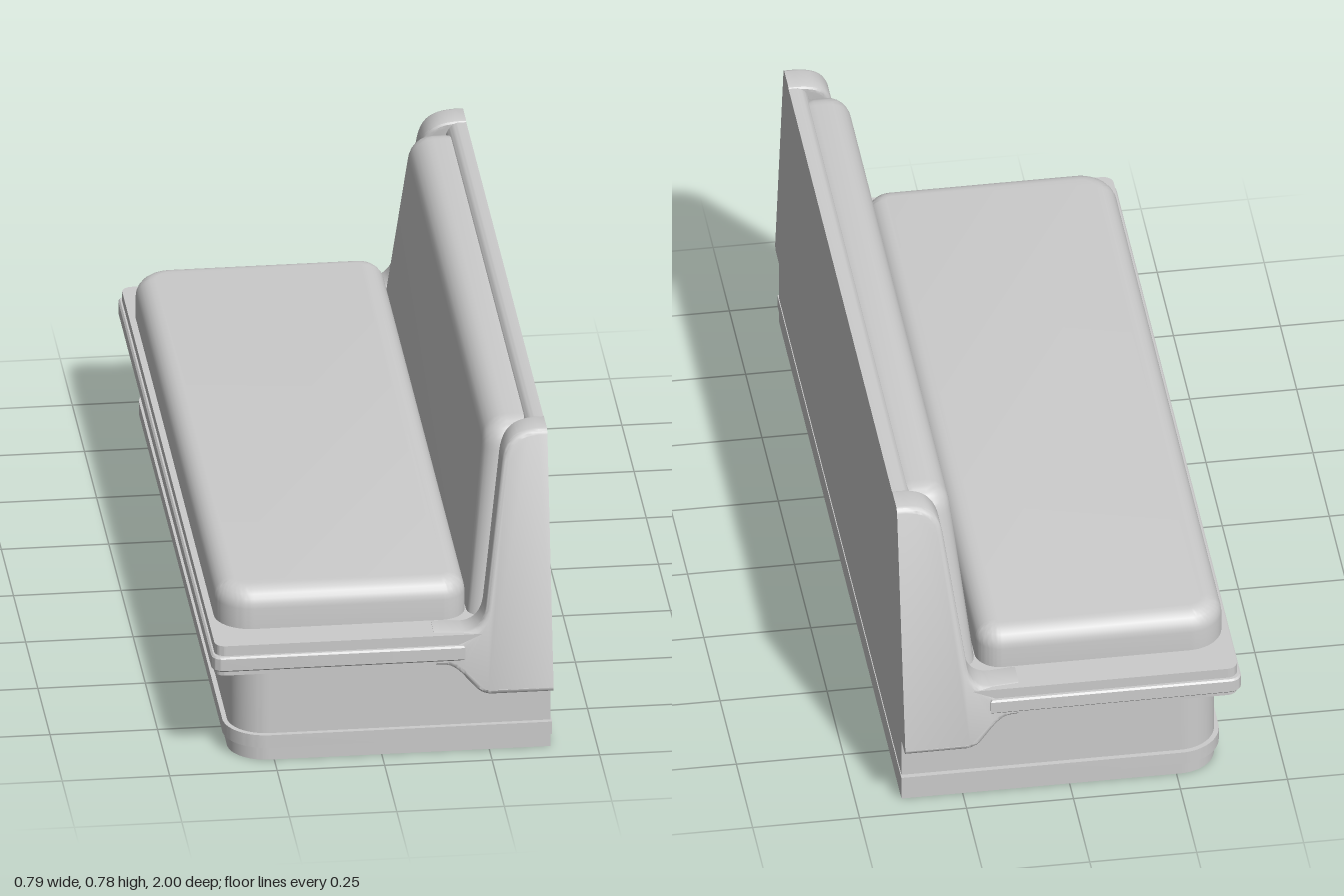
import * as THREE from 'three';
import { toCreasedNormals } from 'three/addons/utils/BufferGeometryUtils.js';

const grey = new THREE.MeshStandardMaterial({ color: 0xcccccc });
grey.name = 'light grey';

const BACK = 0.393;
// half width of the tapering bench ends at height y
const halfWidth = (y) => Math.min(1, 1 - (y - 0.18) * 0.217);

// plan outline from x0 to x1 with rounded corners at the seat front and, if r1 > 0, at the back
function plan(x0, x1, half, r0, r1 = 0) {
  const s = new THREE.Shape();
  s.moveTo(x0 + r0, -half);
  s.lineTo(x1 - r1, -half);
  if (r1) s.absarc(x1 - r1, -half + r1, r1, -Math.PI / 2, 0);
  else s.lineTo(x1, -half);
  s.lineTo(x1, half - r1);
  if (r1) s.absarc(x1 - r1, half - r1, r1, 0, Math.PI / 2);
  s.lineTo(x0 + r0, half);
  s.absarc(x0 + r0, half - r0, r0, Math.PI / 2, Math.PI);
  s.lineTo(x0, -half + r0);
  s.absarc(x0 + r0, -half + r0, r0, Math.PI, Math.PI * 1.5);
  return s;
}

// extrusion whose given outline is its widest section and depth includes the bevels
function extrude(shape, depth, bevel = 0, segments = 4) {
  const g = new THREE.ExtrudeGeometry(shape, {
    depth: depth - 2 * bevel, bevelEnabled: bevel > 0, bevelSize: bevel,
    bevelThickness: bevel, bevelOffset: -bevel, bevelSegments: segments, curveSegments: 10,
  });
  return g.translate(0, 0, bevel);
}

// move every vertex by a rule
function warp(g, rule) {
  const p = g.attributes.position, v = new THREE.Vector3();
  for (let i = 0; i < p.count; i++) {
    rule(v.fromBufferAttribute(p, i));
    p.setXYZ(i, v.x, v.y, v.z);
  }
  return g;
}

export function createModel() {
  const group = new THREE.Group();
  const add = (name, g) => {
    const mesh = new THREE.Mesh(toCreasedNormals(g, 0.6), grey);
    mesh.name = name;
    group.add(mesh);
  };
  const slab = (name, shape, y0, y1, bevel = 0, segments = 4) =>
    add(name, extrude(shape, y1 - y0, bevel, segments).rotateX(-Math.PI / 2).translate(0, y0, 0));

  // plinth, skirting and seat tray
  slab('base', plan(-0.35, BACK, 0.94, 0.09), 0, 0.24);
  slab('skirtingTrim', plan(-0.361, BACK + 0.002, 0.952, 0.1), 0.036, 0.068);
  slab('seatTray', plan(-0.39, 0.25, 0.97, 0.025), 0.235, 0.31);
  slab('trayTrim', plan(-0.398, 0.19, 0.981, 0.028), 0.248, 0.285, 0.004, 1);

  // seat cushion, with a softer front edge
  const seat = extrude(plan(-0.375, 0.205, 0.885, 0.085, 0.06), 0.19, 0.045, 6);
  seat.rotateX(-Math.PI / 2).translate(0, 0.216, 0);
  add('seatCushion', warp(seat, (v) => { v.y = Math.max(v.y, 0.3); }));

  // end panels, leaning inwards and flaring out of the tray
  const end = new THREE.Shape();
  end.moveTo(0.12, 0.235);
  end.lineTo(0.145, 0.235);
  end.quadraticCurveTo(0.165, 0.233, 0.185, 0.212);
  end.lineTo(0.215, 0.18);
  end.quadraticCurveTo(0.23, 0.166, 0.25, 0.166);
  end.lineTo(0.42, 0.166);
  end.lineTo(0.42, 0.778);
  end.lineTo(0.372, 0.778);
  end.bezierCurveTo(0.325, 0.776, 0.295, 0.76, 0.287, 0.705);
  end.lineTo(0.242, 0.375);
  end.quadraticCurveTo(0.235, 0.315, 0.185, 0.311);
  end.lineTo(0.12, 0.311);
  for (const side of [1, -1]) {
    const g = extrude(end, 0.08, 0.012, 3).translate(0, 0, -0.04);
    add(side > 0 ? 'leftEndPanel' : 'rightEndPanel', warp(g, (v) => {
      const flare = Math.max(0, 0.25 - v.x) * 0.1;
      v.z += side * (halfWidth(v.y) - 0.04 - flare);
      v.x = Math.min(v.x, BACK);
    }));
  }

  // back board between the end panels
  const board = new THREE.Shape();
  board.moveTo(0.27, 0.17);
  board.lineTo(BACK, 0.17);
  board.lineTo(BACK, 0.774);
  board.lineTo(0.372, 0.774);
  board.quadraticCurveTo(0.352, 0.77, 0.345, 0.74);
  board.lineTo(0.27, 0.31);
  add('backBoard', warp(extrude(board, 2).translate(0, 0, -1), (v) => {
    v.z *= halfWidth(v.y) - 0.03;
  }));

  // back cushion: tapered pad, leaning backwards
  const pad = new THREE.Shape();
  pad.moveTo(-0.888, 0.26);
  pad.lineTo(0.888, 0.26);
  pad.lineTo(0.808, 0.7);
  pad.quadraticCurveTo(0.797, 0.761, 0.74, 0.761);
  pad.lineTo(-0.74, 0.761);
  pad.quadraticCurveTo(-0.797, 0.761, -0.808, 0.7);
  const back = extrude(pad, 0.13, 0.05, 6).rotateY(Math.PI / 2);
  add('backCushion', warp(back, (v) => { v.x += 0.208 + (v.y - 0.31) * 0.115; }));

  return group;
}
